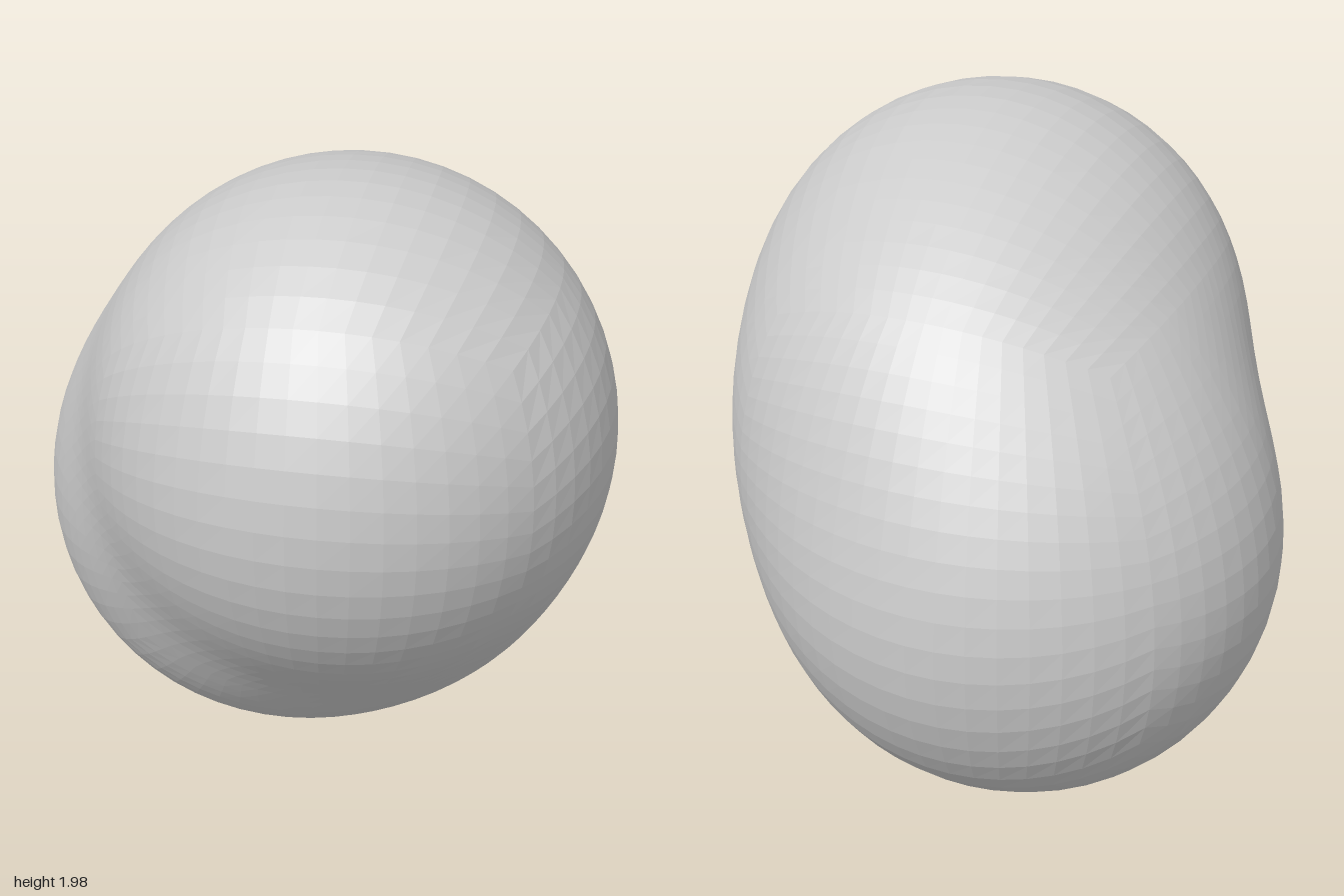
import * as THREE from 'three';

// Overlapping balls that melt into one lump: centre and radius
const BALLS = [
  { c: new THREE.Vector3(0.14, 1.24, 0.25), r: 0.74 },    // upper front
  { c: new THREE.Vector3(-0.14, 0.77, -0.225), r: 0.76 }, // lower back
  { c: new THREE.Vector3(0.05, 1.13, -0.12), r: 0.68 },   // fills the upper back
  { c: new THREE.Vector3(0.16, 0.85, -0.02), r: 0.55 },   // fills the lower left side
];
const BLEND = 0.1;
const SEGMENTS = 18;

// Above 1 inside the blended surface, below 1 outside
function field(p) {
  return BALLS.reduce((sum, b) => sum + Math.exp((b.r - p.distanceTo(b.c)) / BLEND), 0);
}

// Point where a ray from the middle leaves the surface
function surfacePoint(origin, dir) {
  const p = new THREE.Vector3();
  let near = 0, far = 2;
  for (let i = 0; i < 24; i++) {
    const mid = (near + far) / 2;
    p.copy(origin).addScaledVector(dir, mid);
    if (field(p) > 1) near = mid;
    else far = mid;
  }
  return p;
}

export function createModel() {
  const group = new THREE.Group();
  group.name = 'blob';

  // Evenly divided cube pushed out onto the blended surface
  const geometry = new THREE.BoxGeometry(2, 2, 2, SEGMENTS, SEGMENTS, SEGMENTS);
  const pos = geometry.attributes.position;
  const origin = new THREE.Vector3(0, 1, 0);
  const even = (t) => Math.tan((t * Math.PI) / 4);
  for (let i = 0; i < pos.count; i++) {
    const dir = new THREE.Vector3(even(pos.getX(i)), even(pos.getY(i)), even(pos.getZ(i))).normalize();
    const p = surfacePoint(origin, dir);
    pos.setXYZ(i, p.x, p.y, p.z);
  }

  // Stand it on the ground, centred
  geometry.center();
  geometry.translate(0, -geometry.boundingBox.min.y + geometry.boundingBox.getCenter(new THREE.Vector3()).y, 0);
  geometry.computeVertexNormals();

  const material = new THREE.MeshStandardMaterial({ color: 0xcccccc, flatShading: true });
  const body = new THREE.Mesh(geometry, material);
  body.name = 'blobBody';
  group.add(body);
  return group;
}
